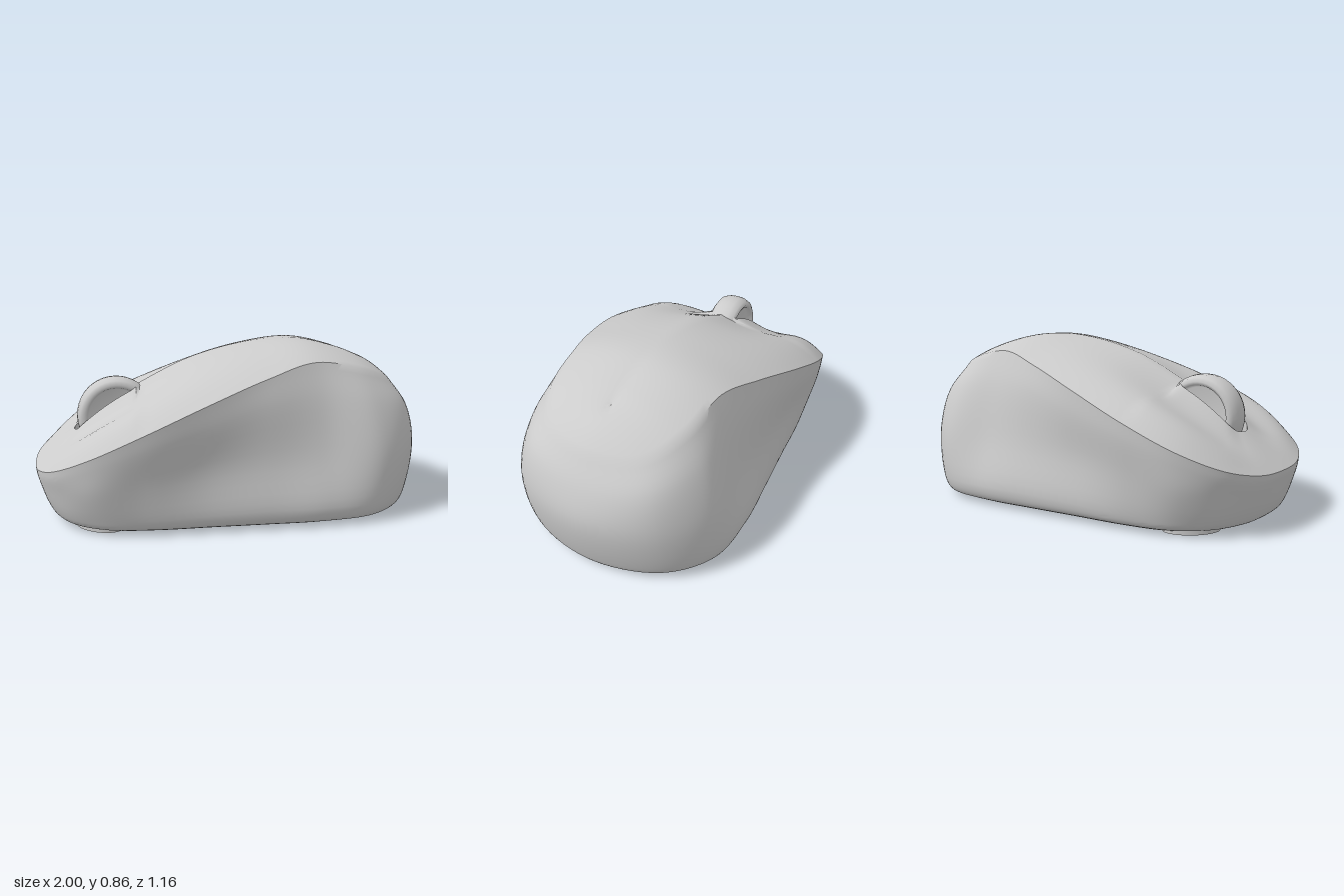
import * as THREE from 'three';
import { toCreasedNormals } from 'three/addons/utils/BufferGeometryUtils.js';

const material = new THREE.MeshStandardMaterial({ color: 0xcccccc, roughness: 0.6 });
const COLS = 160; // columns around the body

// Half outlines as [x, y, z], running from the nose to the tail
const BASE = [
  [-0.95, 0.08, 0], [-0.93, 0.08, 0.2], [-0.85, 0.08, 0.37], [-0.7, 0.08, 0.48],
  [-0.48, 0.08, 0.525], [-0.18, 0.09, 0.545], [0.1, 0.1, 0.565], [0.38, 0.1, 0.58],
  [0.66, 0.1, 0.545], [0.87, 0.1, 0.36], [0.965, 0.1, 0]];
const WAIST = [
  [-0.985, 0.19, 0], [-0.965, 0.19, 0.215], [-0.88, 0.2, 0.39], [-0.725, 0.22, 0.515],
  [-0.49, 0.27, 0.55], [-0.18, 0.31, 0.53], [0.1, 0.33, 0.525], [0.38, 0.34, 0.52],
  [0.67, 0.34, 0.53], [0.9, 0.34, 0.36], [1, 0.34, 0]];
const SHOULDER = [
  [-0.997, 0.235, 0], [-0.977, 0.24, 0.22], [-0.895, 0.27, 0.4], [-0.735, 0.33, 0.527],
  [-0.5, 0.42, 0.575], [-0.19, 0.51, 0.55], [0.1, 0.59, 0.505], [0.38, 0.61, 0.46],
  [0.65, 0.58, 0.455], [0.87, 0.54, 0.32], [0.955, 0.5, 0]];
const RIM = [
  [-1, 0.26, 0], [-0.98, 0.27, 0.22], [-0.9, 0.31, 0.4], [-0.74, 0.39, 0.53],
  [-0.5, 0.5, 0.58], [-0.2, 0.62, 0.55], [0.1, 0.72, 0.475], [0.36, 0.78, 0.4],
  [0.62, 0.735, 0.36], [0.8, 0.67, 0.24], [0.86, 0.655, 0]];
const SPINE = [
  [-0.8, 0.42, 0], [-0.79, 0.425, 0], [-0.75, 0.465, 0], [-0.62, 0.56, 0],
  [-0.465, 0.645, 0], [-0.2, 0.77, 0], [0.1, 0.845, 0], [0.36, 0.862, 0],
  [0.55, 0.82, 0], [0.63, 0.79, 0], [0.66, 0.775, 0]];

// Mirrors a half outline into a closed smooth loop
function loop(half) {
  const points = half.map(p => new THREE.Vector3(...p));
  const mirrored = half.slice(1, -1).reverse().map(([x, y, z]) => new THREE.Vector3(x, y, -z));
  return new THREE.CatmullRomCurve3([...points, ...mirrored], true);
}

// Half width of the wheel slot at x, with rounded ends
function slotWidth(x) {
  const d = Math.min(x + 0.8, -0.465 - x);
  if (d <= 0) return 0;
  const k = Math.max(0, 1 - d / 0.06);
  return 0.09 * Math.sqrt(1 - k * k);
}

// One column of the skin: underside, side wall, top, wheel slot
function column(j, loops) {
  const t = j / COLS;
  const side = j <= COLS / 2 ? 1 : -1;
  const [base, waist, shoulder, rim, spine] = loops.map(l => l.getPoint(t));
  const scaled = (k, y) => new THREE.Vector3(base.x * k, y, base.z * k);
  const foot = scaled(0.915, 0.017);
  const out = [new THREE.Vector3(foot.x, 0.017, 0)];
  out.push(...new THREE.CatmullRomCurve3(
    [foot, scaled(0.97, 0.035), base, waist, shoulder, rim]).getPoints(25));

  spine.z = side * slotWidth(spine.x);
  const u = (side > 0 ? t : 1 - t) * 20;             // station along the body, 0..10
  const crown = 0.025 * THREE.MathUtils.smoothstep(u, 1, 5);
  const groove = 0.035 * Math.exp(-(((u - 3.3) / 1.5) ** 2));
  const rows = 14;
  for (let i = 1; i <= rows; i++) {
    const s = i / rows;
    const p = rim.clone().lerp(spine, s);
    p.y += crown * 4 * s * (1 - s) + groove * Math.sin(Math.PI * 2 * s) * (1 - s * 0.3);
    out.push(p);
  }
  const drop = spine.x < -0.46 ? 0.18 : 0;
  out.push(new THREE.Vector3(spine.x, spine.y - drop, spine.z));
  out.push(new THREE.Vector3(spine.x, spine.y - drop, 0));
  return out;
}

function bodyGeometry() {
  const loops = [BASE, WAIST, SHOULDER, RIM, SPINE].map(loop);
  const positions = [], index = [];
  let rows = 0;
  for (let j = 0; j < COLS; j++) {
    const col = column(j, loops);
    rows = col.length;
    col.forEach(p => positions.push(p.x, p.y, p.z));
  }
  for (let j = 0; j < COLS; j++) {
    const a = j * rows, b = ((j + 1) % COLS) * rows;
    for (let k = 0; k < rows - 1; k++) {
      index.push(a + k, b + k, b + k + 1, a + k, b + k + 1, a + k + 1);
    }
  }
  const geometry = new THREE.BufferGeometry();
  geometry.setAttribute('position', new THREE.Float32BufferAttribute(positions, 3));
  geometry.setIndex(index);
  return toCreasedNormals(geometry, 0.7);
}

export function createModel() {
  const model = new THREE.Group();
  const add = (geometry, name) => {
    const mesh = new THREE.Mesh(geometry, material);
    mesh.name = name;
    model.add(mesh);
    return mesh;
  };

  add(bodyGeometry(), 'body');

  // Scroll wheel: rounded tyre with recessed faces
  const profile = [[0, -0.045], [0.14, -0.045], [0.15, -0.07], [0.165, -0.078], [0.185, -0.065],
    [0.197, -0.035], [0.2, 0], [0.197, 0.035], [0.185, 0.065], [0.165, 0.078], [0.15, 0.07],
    [0.14, 0.045], [0, 0.045]].map(p => new THREE.Vector2(...p));
  const wheel = add(new THREE.LatheGeometry(profile, 40), 'scrollWheel');
  wheel.rotation.x = Math.PI / 2;
  wheel.position.set(-0.585, 0.482, 0);

  // Oval glide pads, turned to follow the corners
  for (const sx of [-1, 1]) {
    for (const sz of [-1, 1]) {
      const pad = add(new THREE.CylinderGeometry(1, 1, 0.035, 32), 'glidePad');
      pad.scale.set(0.135, 1, 0.09);
      pad.rotation.y = sx * sz * Math.PI / 4;
      pad.position.set(sx * 0.695, 0.0175, sz * 0.31);
    }
  }
  return model;
}
